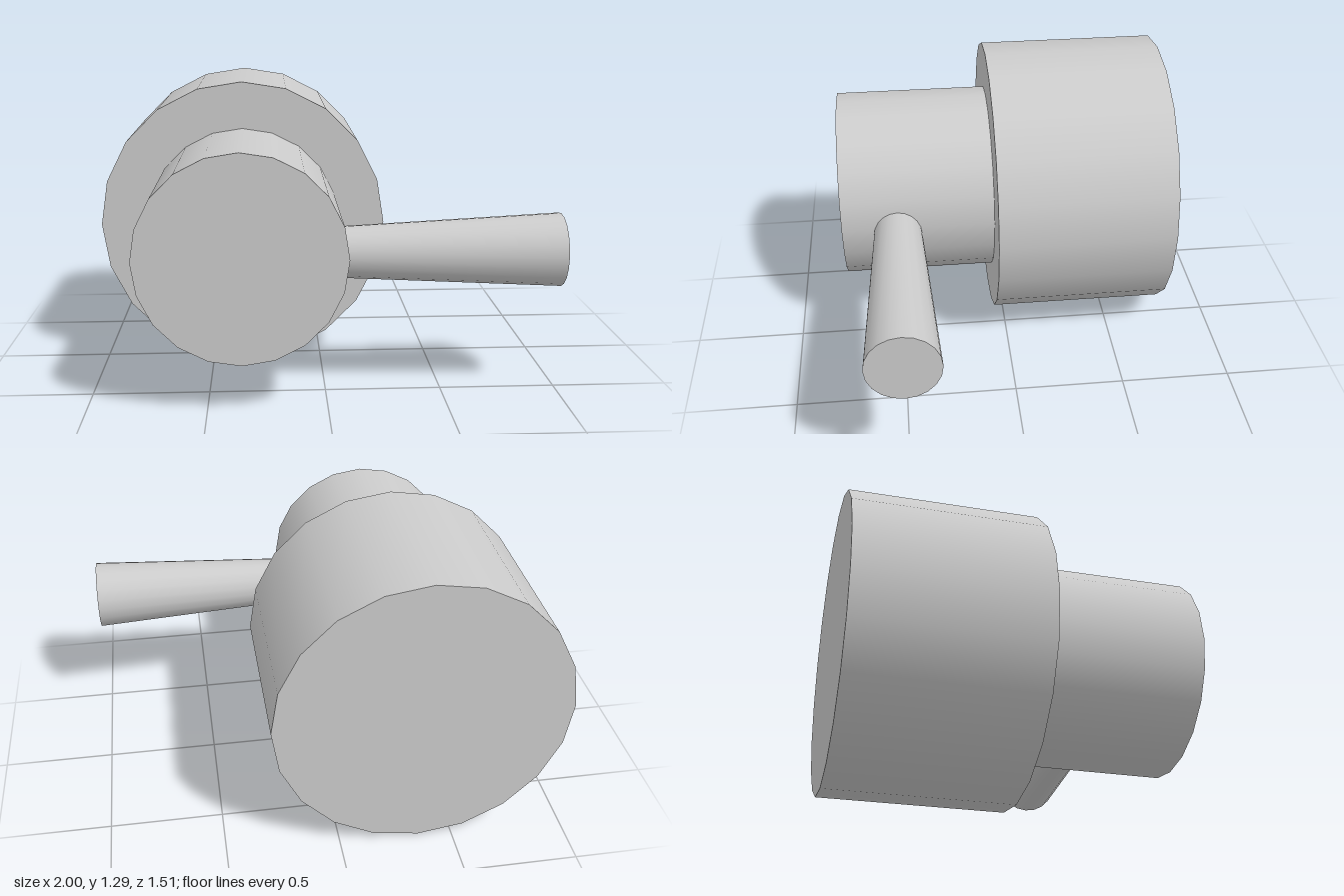
import * as THREE from 'three';

const SIDES = 20;
const material = new THREE.MeshStandardMaterial({ color: 0xcccccc });

function addPart(group, name, geometry, x, y, z) {
  const mesh = new THREE.Mesh(geometry, material);
  mesh.name = name;
  mesh.position.set(x, y, z);
  group.add(mesh);
}

// Cylinder lying along z
function drum(radius, length) {
  return new THREE.CylinderGeometry(radius, radius, length, SIDES).rotateX(Math.PI / 2);
}

export function createModel() {
  const group = new THREE.Group();
  const axisX = -0.353, axisY = 0.647;

  // Wide rear drum and narrower front drum on a shared axis
  addPart(group, 'rearDrum', drum(0.647, 0.81), axisX, axisY, -0.35);
  addPart(group, 'frontDrum', drum(0.437, 0.7), axisX, axisY, 0.405);

  // Tapered side handle, flaring outwards, its inner end sunk into the front drum
  const handle = new THREE.CylinderGeometry(0.157, 0.107, 0.98, SIDES).rotateZ(-Math.PI / 2);
  addPart(group, 'sideHandle', handle, 0.51, 0.617, 0.5);

  return group;
}
